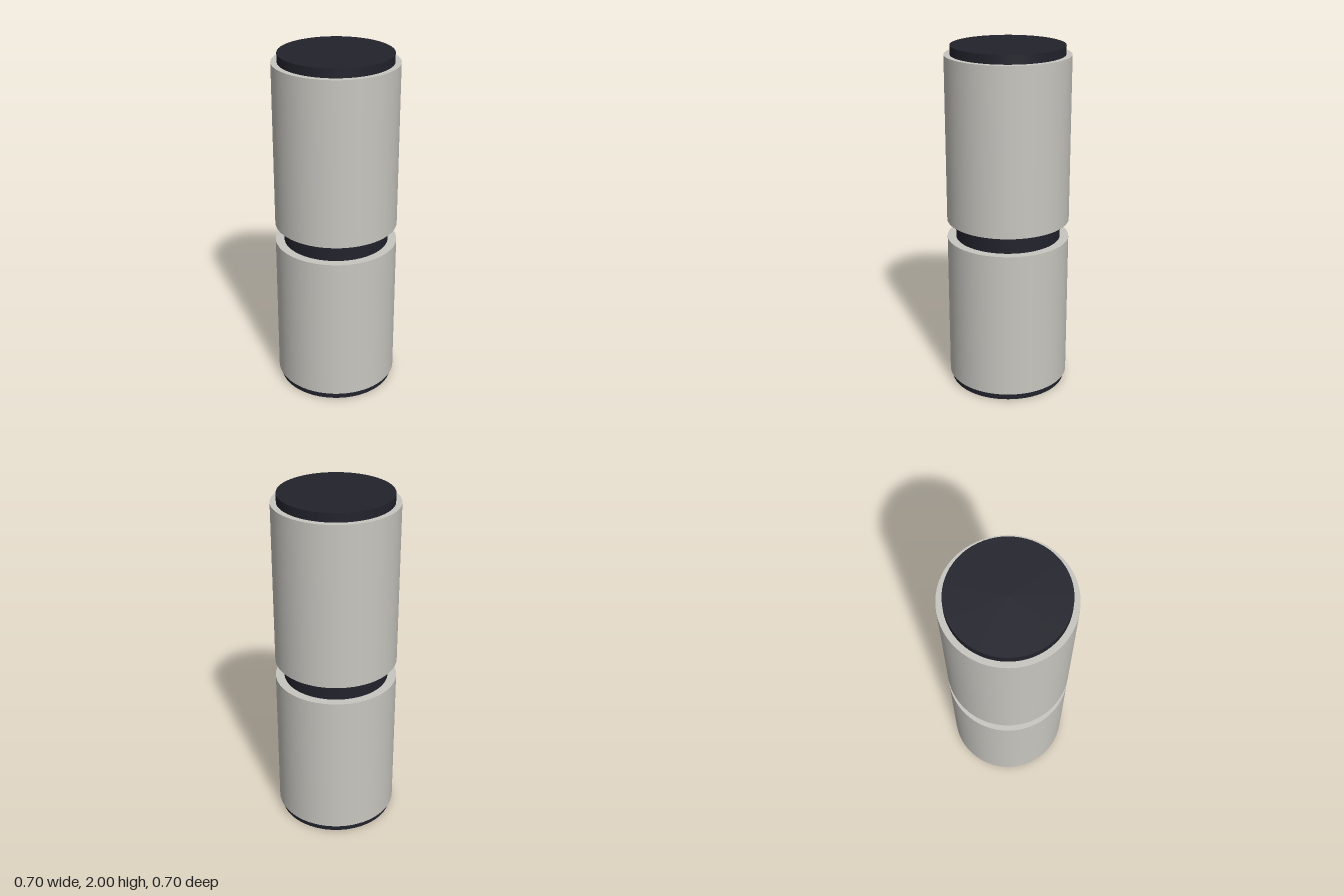
import * as THREE from 'three';

export function createModel() {
  const model = new THREE.Group();
  model.name = 'cylinderStack';

  const shell = new THREE.MeshStandardMaterial({ color: 0xc8c6c0 });
  shell.name = 'warm light grey';
  const dark = new THREE.MeshStandardMaterial({ color: 0x22222c });
  dark.name = 'dark navy';

  // Upright disc or drum between two heights
  const drum = (name, radius, bottom, top, material) => {
    const geometry = new THREE.CylinderGeometry(radius, radius, top - bottom, 64);
    const mesh = new THREE.Mesh(geometry, material);
    mesh.name = name;
    mesh.position.y = (bottom + top) / 2;
    model.add(mesh);
  };

  drum('basePad', 0.335, 0, 0.04, dark);
  drum('lowerBody', 0.35, 0.04, 0.9, shell);
  drum('neck', 0.3, 0.9, 1.005, dark);
  drum('upperBody', 0.35, 1.005, 1.95, shell);
  drum('topCap', 0.317, 1.95, 2, dark);

  return model;
}
